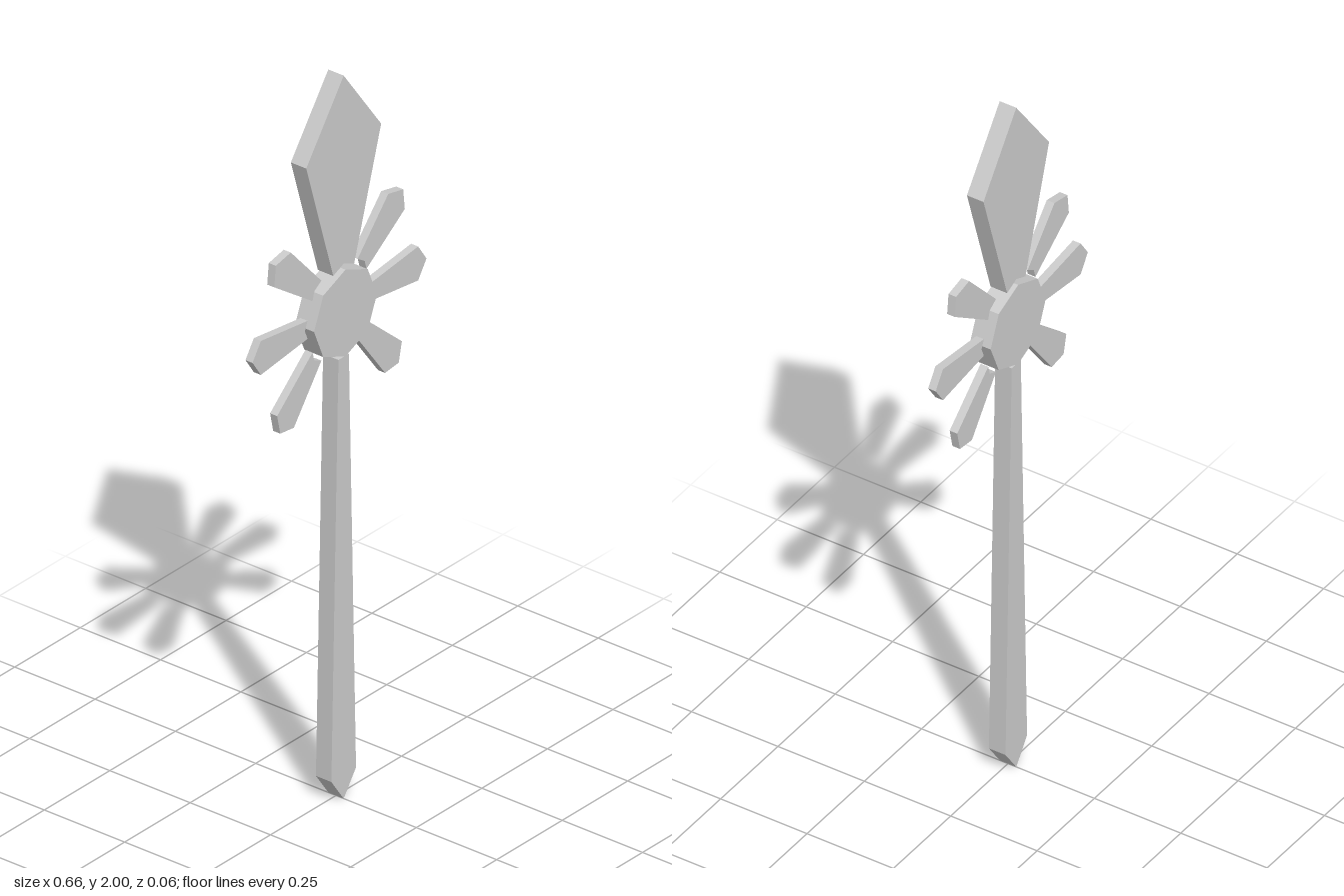
import * as THREE from 'three';

const material = new THREE.MeshStandardMaterial({ color: 0xcccccc, flatShading: true });

// Flat plate cut from an outline, centred on z = 0
function plate(name, points, depth) {
  const shape = new THREE.Shape(points.map(([x, y]) => new THREE.Vector2(x, y)));
  const geometry = new THREE.ExtrudeGeometry(shape, { depth, bevelEnabled: false });
  geometry.translate(0, 0, -depth / 2);
  const mesh = new THREE.Mesh(geometry, material);
  mesh.name = name;
  return mesh;
}

export function createModel() {
  const group = new THREE.Group();
  group.name = 'ornamentalStaff';
  const hubY = 1.345;

  // Octagonal hub with corners on the axes
  const octagon = [];
  for (let i = 0; i < 8; i++) {
    const a = (i * Math.PI) / 4;
    octagon.push([0.12 * Math.cos(a), hubY + 0.12 * Math.sin(a)]);
  }
  group.add(plate('hub', octagon, 0.059));

  // Kite-shaped blade, notched around the top of the hub
  group.add(plate('blade', [
    [0, 2], [-0.143, 1.805], [-0.04, 1.463], [0, 1.48], [0.04, 1.463], [0.143, 1.805],
  ], 0.048));

  // Tapered shaft with a pointed foot
  group.add(plate('shaft', [
    [0, 0], [0.047, 0.066], [0.02, 1.222], [-0.02, 1.222], [-0.047, 0.066],
  ], 0.048));

  // Three petals on each side, notched around the hub corners
  const petals = {
    upperPetal: [[0.069, 1.458], [0.096, 1.441], [0.103, 1.416], [0.249, 1.518], [0.243, 1.575], [0.186, 1.587]],
    middlePetal: [[0.122, 1.37], [0.132, 1.345], [0.122, 1.32], [0.3, 1.298], [0.332, 1.345], [0.3, 1.392]],
    lowerPetal: [[0.103, 1.274], [0.096, 1.249], [0.069, 1.237], [0.174, 1.097], [0.226, 1.103], [0.238, 1.157]],
  };
  for (const [name, points] of Object.entries(petals)) {
    for (const side of [1, -1]) {
      const mirrored = points.map(([x, y]) => [x * side, y]);
      group.add(plate(name + (side > 0 ? 'Left' : 'Right'), mirrored, 0.022));
    }
  }
  return group;
}
